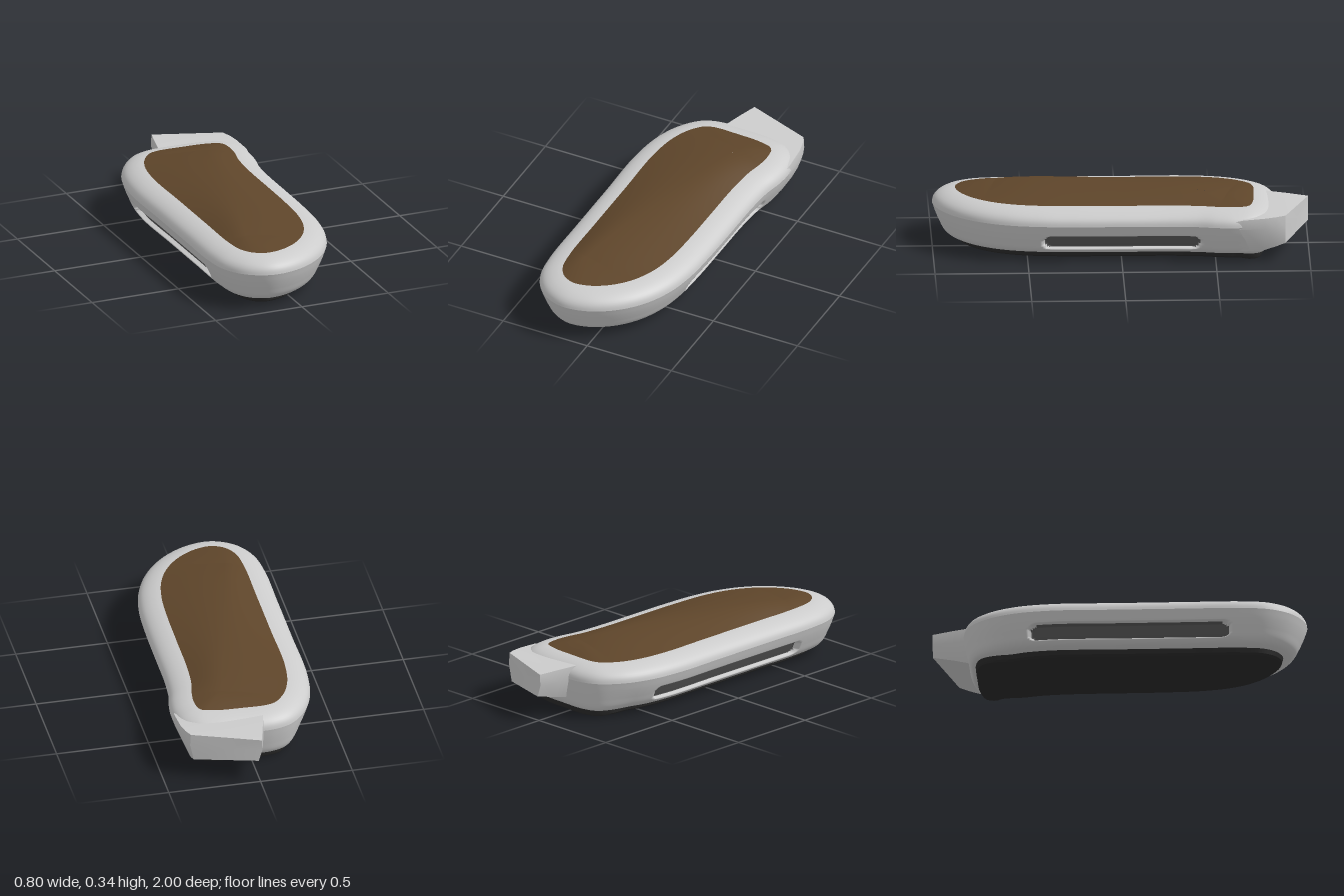
import * as THREE from 'three';
import { toCreasedNormals } from 'three/addons/utils/BufferGeometryUtils.js';

const N = 400;
const smooth = THREE.MathUtils.smoothstep;

// Widest outline of the body, as x, z: along -x, round the front, back along +x
const OUTLINE = [
  [-0.4, -0.35], [-0.4, 0], [-0.4, 0.35], [-0.398, 0.66], [-0.375, 0.81], [-0.31, 0.92], [-0.22, 0.98],
  [-0.13, 0.998], [0, 0.97], [0.13, 0.89], [0.235, 0.77], [0.305, 0.62], [0.34, 0.45], [0.352, 0.25],
  [0.355, 0], [0.357, -0.25], [0.368, -0.4], [0.388, -0.5], [0.395, -0.6], [0.375, -0.71], [0.31, -0.785],
  [0.2, -0.82], [0.05, -0.83], [-0.12, -0.828], [-0.22, -0.79], [-0.31, -0.69], [-0.37, -0.55],
];

const curve = new THREE.CatmullRomCurve3(OUTLINE.map(([x, z]) => new THREE.Vector3(x, 0, z)), true, 'centripetal');
const base = curve.getSpacedPoints(N).slice(0, N);
const inward = base.map((p, j) => {
  const t = base[(j + 1) % N].clone().sub(base[(j + N - 1) % N]).normalize();
  return new THREE.Vector3(t.z, 0, -t.x);
});

// Outline moved inwards by d, at height y
const ring = (d, y, backFactor = 0) => base.map((p, j) => {
  const k = d * (1 - backFactor * smooth(-p.z, 0.6, 0.83));
  return p.clone().addScaledVector(inward[j], k).setY(y);
});

// Closed rings, from bottom to top, joined into a skin; isSecond picks the second material
function loft(rings, isSecond = () => false) {
  const n = rings[0].length, first = [], second = [];
  for (let i = 0; i < rings.length - 1; i++) {
    for (let j = 0; j < n; j++) {
      const k = (j + 1) % n;
      const a = i * n + j, b = i * n + k, c = a + n, d = b + n;
      (isSecond(i, j) ? second : first).push(a, b, d, a, d, c);
    }
  }
  const g = new THREE.BufferGeometry().setFromPoints(rings.flat());
  g.setIndex([...first, ...second]);
  if (second.length) {
    g.addGroup(0, first.length, 0);
    g.addGroup(first.length, second.length, 1);
  }
  g.computeVertexNormals();
  return g;
}

// Slanting centre line on which the top and the sole close
const A = new THREE.Vector3(0.12, 0, -0.56), B = new THREE.Vector3(-0.18, 0, 0.66);
const spine = new THREE.Line3(A, B);
function towardSpine(p, t, y) {
  const flat = p.clone().setY(0);
  const u = spine.closestPointToPointParameter(flat, true);
  return flat.lerp(spine.at(u, new THREE.Vector3()), t).setY(y(u));
}

// Signed distance to the long rounded slot on each side
function slotDistance(p) {
  const [mid, half] = p.x > 0 ? [0, 0.42] : [0.06, 0.54];
  const r = 0.041;
  if (Math.abs(p.x) < 0.2) return 1;
  return Math.hypot(Math.max(Math.abs(p.z - mid) - (half - r), 0), p.y - 0.11) - r;
}

export function createModel() {
  const mat = (name, color) => Object.assign(new THREE.MeshStandardMaterial({ color }), { name });
  const shell = mat('light grey shell', 0xcccccc);
  const brown = mat('brown pad', 0x5e452a);
  const dark = mat('dark sole', 0x2a2a2a);
  const recess = mat('slot grey', 0x585858);
  const group = new THREE.Group();
  const add = (name, geo, material) => {
    const m = new THREE.Mesh(geo, material);
    m.name = name;
    group.add(m);
  };

  // Lower shell: fine rows along a curved profile, with the slots pushed in
  const profile = new THREE.CatmullRomCurve3([
    [0.15, 0.036], [0.12, 0.037], [0.085, 0.046], [0.06, 0.068], [0.036, 0.115], [0.015, 0.165], [0, 0.21],
  ].map(([d, y]) => new THREE.Vector3(d, y, 0)));
  const lower = profile.getSpacedPoints(54).map((q) => ring(q.x, q.y, 0.5));
  const depth = lower.map((r) => r.map(slotDistance));
  lower.forEach((r, i) => r.forEach((p, j) => {
    p.addScaledVector(inward[j], 0.035 * smooth(-depth[i][j], 0, 0.007));
  }));
  const inSlot = (i, j) => Math.max(depth[i][j], depth[i + 1][j], depth[i][(j + 1) % N], depth[i + 1][(j + 1) % N]) < -0.003;
  add('lowerShell', loft(lower, inSlot), [shell, recess]);

  // Upper rim between the widest edge and the pad
  const rim = new THREE.CatmullRomCurve3([
    [0, 0.21], [0.005, 0.232], [0.02, 0.253], [0.05, 0.272], [0.09, 0.285], [0.122, 0.29],
  ].map(([d, y]) => new THREE.Vector3(d, y, 0)));
  add('upperRim', loft(rim.getSpacedPoints(14).map((q) => ring(q.x, q.y))), shell);

  // Domed pad rising to the spine
  const edge = ring(0.122, 0.29);
  const pad = [];
  for (let i = 0; i <= 14; i++) {
    const t = i / 14;
    pad.push(edge.map((p) => towardSpine(p, t, (u) => {
      const h = 0.05 - 0.026 * Math.pow(2 * u - 1, 4);
      return 0.29 + h * Math.sin(t * Math.PI / 2);
    })));
  }
  add('topPad', loft(pad), brown);

  // Sole: flat bottom with a small chamfer
  const foot = ring(0.145, 0.003, 0.5);
  add('sole', toCreasedNormals(loft([
    foot.map((p) => towardSpine(p, 1, () => 0.003)), foot, ring(0.134, 0.012, 0.5), ring(0.127, 0.04, 0.5),
  ]), 0.5), dark);

  // Angled spout at the back: left x, z and right x, z, then heights
  const sections = [
    { l: [-0.1, -0.55], r: [0.375, -0.5], top: [0.27, 0.215], bot: [0.07, 0.07], inset: 0.07 },
    { l: [-0.085, -0.7], r: [0.393, -0.64], top: [0.276, 0.25], bot: [0.065, 0.06], inset: 0.06 },
    { l: [-0.065, -0.79], r: [0.386, -0.76], top: [0.274, 0.258], bot: [0.085, 0.07], inset: 0.05 },
    { l: [-0.04, -0.89], r: [0.374, -0.82], top: [0.269, 0.262], bot: [0.11, 0.09], inset: 0.035 },
    { l: [-0.01, -1], r: [0.355, -0.87], top: [0.262, 0.265], bot: [0.135, 0.108], inset: 0.02 },
  ].map(({ l, r, top, bot, inset }) => {
    const v = (p, dx, y) => new THREE.Vector3(p[0] + dx, y, p[1]);
    return [
      v(r, -0.004, top[1]), v(r, 0, 0.2), v(r, -inset, bot[1]),
      v(l, inset, bot[0]), v(l, 0, 0.2), v(l, 0.004, top[0]),
    ];
  });
  const tip = sections[sections.length - 1];
  const centre = tip.reduce((s, p) => s.add(p), new THREE.Vector3()).divideScalar(tip.length);
  sections.push(tip.map(() => centre.clone()));
  add('backSpout', toCreasedNormals(loft(sections), 0.6), shell);

  return group;
}
